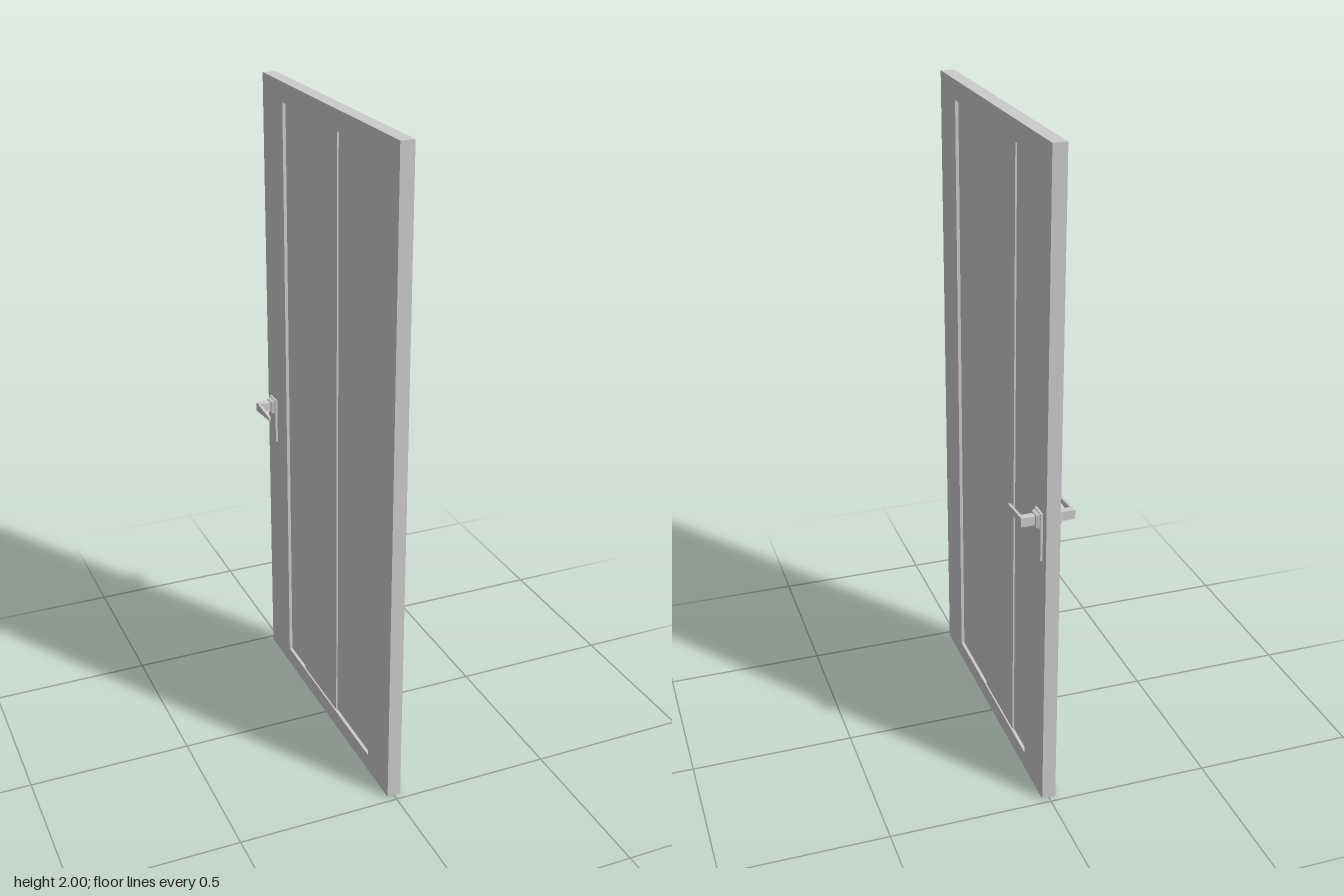
import * as THREE from 'three';

const material = new THREE.MeshStandardMaterial({ color: 0xcccccc, flatShading: true });

function add(parent, name, geometry, x = 0, y = 0, z = 0) {
  const mesh = new THREE.Mesh(geometry, material);
  mesh.name = name;
  mesh.position.set(x, y, z);
  parent.add(mesh);
  return mesh;
}

// Box given by its limits along each axis
function block(parent, name, [x0, x1], [y0, y1], [z0, z1]) {
  return add(parent, name, new THREE.BoxGeometry(x1 - x0, y1 - y0, z1 - z0),
    (x0 + x1) / 2, (y0 + y1) / 2, (z0 + z1) / 2);
}

// Outline drawn in (-z, y), extruded along x and centred on x = 0
function slab(shape, depth) {
  const g = new THREE.ExtrudeGeometry(shape, { depth, bevelEnabled: false });
  g.translate(0, 0, -depth / 2);
  return g.rotateY(Math.PI / 2);
}

const outline = (pts) => pts.map(([a, b]) => new THREE.Vector2(a, b));

function createHandle(side) {
  const handle = new THREE.Group();
  handle.name = side > 0 ? 'leftHandle' : 'rightHandle';
  const span = (a, b) => (side > 0 ? [a, b] : [-b, -a]);
  const y = 0.932, z = -0.427;

  block(handle, 'backPlate', span(0.018, 0.028), [0.81, 0.957], [-0.453, -0.402]);

  // Square rosette narrowing away from the door
  const rosette = new THREE.CylinderGeometry(0.018 * Math.SQRT2, 0.022 * Math.SQRT2, 0.011, 4);
  rosette.rotateY(Math.PI / 4).rotateZ(-side * Math.PI / 2);
  add(handle, 'rosette', rosette, side * 0.0335, y, z);

  block(handle, 'neck', span(0.038, 0.08), [y - 0.014, y + 0.014], [-0.438, -0.416]);

  // Lever tapering towards its tip
  const lever = new THREE.Shape(outline([
    [0.325, -0.005], [0.402, -0.012], [0.438, -0.014],
    [0.438, 0.014], [0.402, 0.012], [0.325, 0.005],
  ]));
  add(handle, 'lever', slab(lever, 0.008), side * 0.0765, y, 0);
  return handle;
}

export function createModel() {
  const door = new THREE.Group();
  door.name = 'door';

  // Frame with one tall opening
  const frame = new THREE.Shape(outline([[-0.48, 0], [0.48, 0], [0.48, 2], [-0.48, 2]]));
  frame.holes.push(new THREE.Path(outline(
    [[-0.335, 0.055], [-0.335, 1.94], [0.32, 1.94], [0.32, 0.055]])));
  add(door, 'frame', slab(frame, 0.042));

  // Recessed outer panels and a slightly raised middle panel
  const panels = [
    ['frontPanel', 0.011, 0.075, 0.335],
    ['middlePanel', 0.016, -0.19, 0.075],
    ['backPanel', 0.011, -0.32, -0.19],
  ];
  for (const [name, h, z0, z1] of panels) block(door, name, [-h, h], [0.055, 1.94], [z0, z1]);

  for (const side of [1, -1]) door.add(createHandle(side));
  return door;
}
